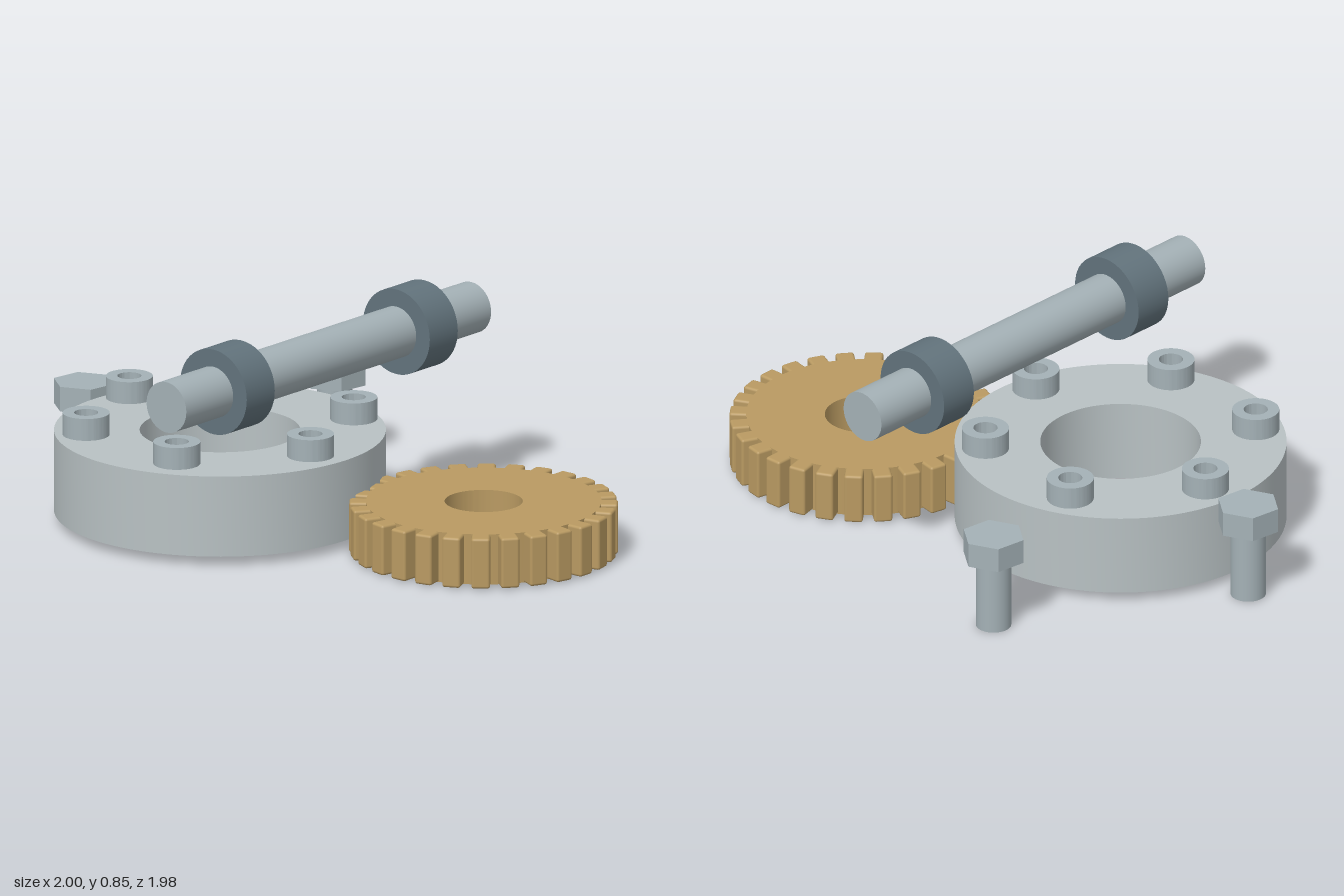
import * as THREE from 'three';
import { toCreasedNormals } from 'three/addons/utils/BufferGeometryUtils.js';
import { RoundedBoxGeometry } from 'three/addons/geometries/RoundedBoxGeometry.js';

const material = (color) => new THREE.MeshStandardMaterial({ color });

function mesh(name, geometry, mat, x = 0, y = 0, z = 0) {
  const m = new THREE.Mesh(geometry, mat);
  m.name = name;
  m.position.set(x, y, z);
  return m;
}

// Flat ring with its base at y = 0 and a round hole along y
function ringGeometry(outer, inner, height) {
  const shape = new THREE.Shape().absarc(0, 0, outer, 0, Math.PI * 2);
  shape.holes.push(new THREE.Path().absarc(0, 0, inner, 0, Math.PI * 2, true));
  const g = new THREE.ExtrudeGeometry(shape, { depth: height, bevelEnabled: false, curveSegments: 64 });
  g.rotateX(-Math.PI / 2);
  return toCreasedNormals(g, 0.6);
}

function createFlange(steel, fastener) {
  const group = new THREE.Group();
  group.name = 'flange';
  group.add(mesh('flangeRing', ringGeometry(0.62, 0.3, 0.312), steel, 0, 0.035, 0));
  // Six hollow bosses on the bolt circle
  const boss = ringGeometry(0.088, 0.045, 0.085);
  for (let i = 0; i < 6; i++) {
    const a = (i / 6) * Math.PI * 2;
    group.add(mesh('boltBoss', boss, fastener, Math.cos(a) * 0.51, 0.359, Math.sin(a) * 0.51));
  }
  return group;
}

function createGear(brass) {
  const group = new THREE.Group();
  group.name = 'gear';
  const height = 0.195, teeth = 28, tip = 0.502, root = 0.44;
  group.add(mesh('gearBody', ringGeometry(root, 0.146, height), brass, 0, 0.005, 0));
  // Radial teeth with rounded edges, sunk into the body
  const depth = tip - root + 0.03;
  const tooth = new RoundedBoxGeometry(0.07, height, depth, 2, 0.01);
  for (let i = 0; i < teeth; i++) {
    const a = (i / teeth) * Math.PI * 2, r = tip - depth / 2;
    const t = mesh('gearTooth', tooth, brass, Math.sin(a) * r, 0.005 + height / 2, Math.cos(a) * r);
    t.rotation.y = a;
    group.add(t);
  }
  return group;
}

function createBolt(fastener) {
  const group = new THREE.Group();
  group.name = 'hexBolt';
  const head = toCreasedNormals(new THREE.CylinderGeometry(0.12, 0.12, 0.096, 6), 0.3);
  group.add(mesh('boltHead', head, fastener, 0, 0.331, 0));
  group.add(mesh('boltShank', new THREE.CylinderGeometry(0.066, 0.066, 0.29, 40), fastener, 0, 0.145, 0));
  return group;
}

function createShaft(steel, dark) {
  const group = new THREE.Group();
  group.name = 'shaft';
  const rod = new THREE.CylinderGeometry(0.098, 0.098, 1.742, 48).rotateZ(Math.PI / 2);
  group.add(mesh('shaftRod', rod, steel));
  // Collars along the rod
  const collar = new THREE.CylinderGeometry(0.165, 0.165, 0.16, 48).rotateZ(Math.PI / 2);
  for (const side of [-1, 1]) group.add(mesh('shaftCollar', collar, dark, side * 0.523, 0, 0));
  return group;
}

export function createModel() {
  const model = new THREE.Group();
  model.name = 'mechanicalParts';
  const steel = material(0xb8c1c3), fastener = material(0xa4b1b6);
  const dark = material(0x62737c), brass = material(0xb99a62);

  const flange = createFlange(steel, fastener);
  flange.position.set(-0.38, 0, -0.147);

  const gear = createGear(brass);
  gear.position.set(0.496, 0, 0.485);

  // Shaft floats diagonally above the other parts
  const shaft = createShaft(fastener, dark);
  shaft.position.set(-0.053, 0.68, 0.097);
  shaft.rotation.y = 0.657;

  model.add(flange, gear, shaft);
  for (const [x, z] of [[-0.77, -0.77], [0.207, -0.877]]) {
    const bolt = createBolt(fastener);
    bolt.position.set(x, 0, z);
    model.add(bolt);
  }
  return model;
}
